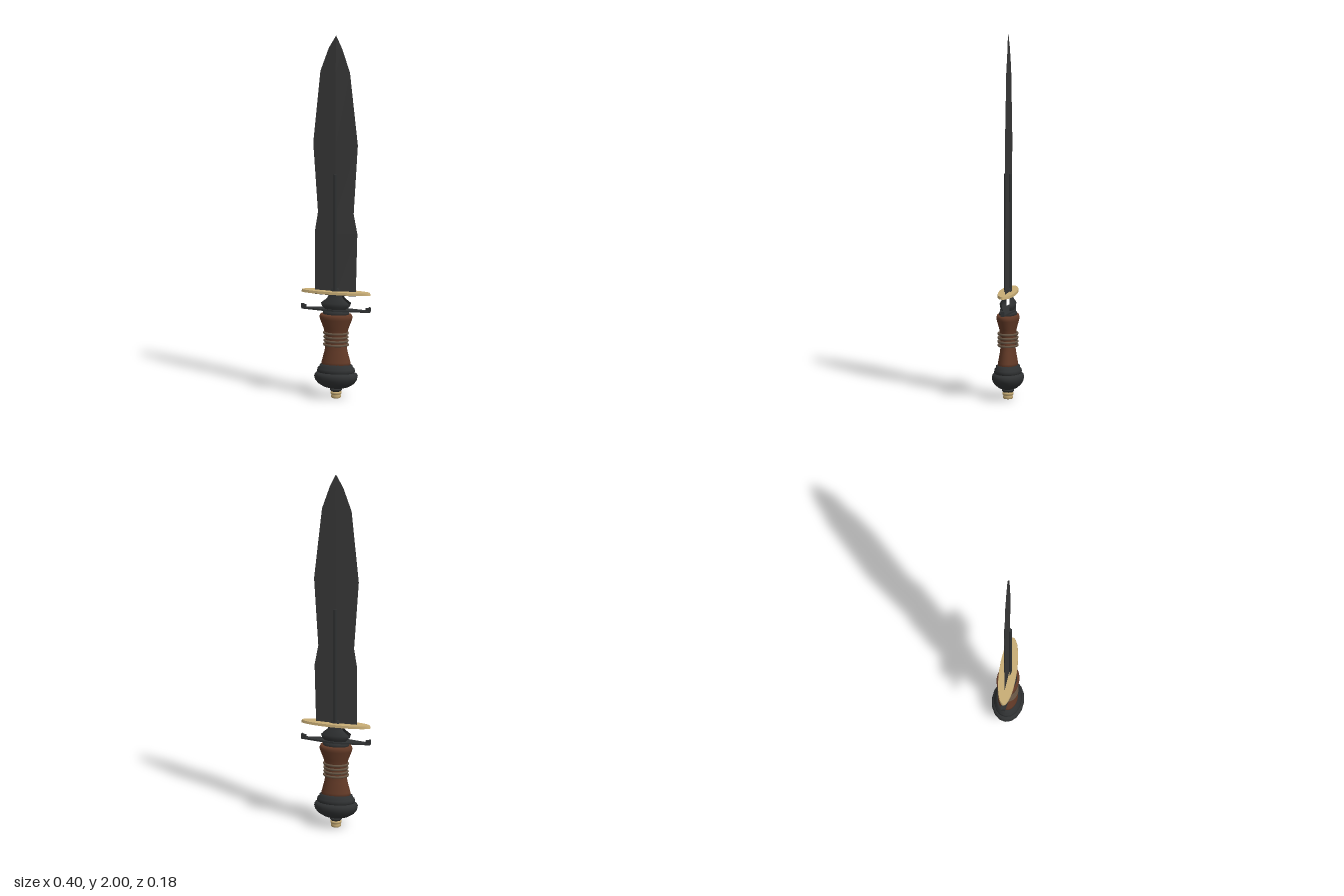
import * as THREE from 'three';

const material = (name, color) => {
  const m = new THREE.MeshStandardMaterial({ color, side: THREE.DoubleSide, flatShading: false });
  m.name = name;
  return m;
};

export function createModel() {
  const group = new THREE.Group();
  const steel = material('dark steel', 0x383838);
  const iron = material('blackened iron', 0x2f3132);
  const brass = material('pale brass', 0xc8ad76);
  const wood = material('brown wood', 0x633a27);
  const wire = material('binding wire', 0x685645);

  const add = (name, geometry, mat, x = 0, y = 0, z = 0) => {
    const mesh = new THREE.Mesh(geometry, mat);
    mesh.name = name;
    mesh.position.set(x, y, z);
    group.add(mesh);
    return mesh;
  };
  const vec = (points) => points.map(([x, y]) => new THREE.Vector2(x, y));
  // Turned part with an elliptical section
  const turned = (name, points, mat, depth, sides = 20) => {
    const geometry = new THREE.LatheGeometry(vec(points), sides);
    geometry.scale(1, 1, depth);
    return add(name, geometry, mat);
  };

  // Leaf blade: diamond sections [y, left edge, right edge, half thickness]
  const rows = [
    [0.565, -0.12, 0.112, 0.008], [0.91, -0.122, 0.121, 0.008], [1.02, -0.104, 0.1, 0.008],
    [1.4, -0.131, 0.124, 0.006], [1.8, -0.09, 0.079, 0.005], [1.93, -0.042, 0.034, 0.003], [2, 0, 0, 0],
  ];
  const positions = [];
  const section = ([y, l, r, t]) => [[l, y, -0.003], [0, y, t], [r, y, -0.003], [0, y, -t - 0.001]];
  for (let i = 0; i < rows.length - 1; i++) {
    const a = section(rows[i]);
    const b = section(rows[i + 1]);
    for (let k = 0; k < 4; k++) {
      const n = (k + 1) % 4;
      positions.push(...a[k], ...a[n], ...b[n], ...a[k], ...b[n], ...b[k]);
    }
  }
  const base = section(rows[0]);
  positions.push(...base[0], ...base[2], ...base[1], ...base[0], ...base[3], ...base[2]);
  const blade = new THREE.BufferGeometry();
  blade.setAttribute('position', new THREE.Float32BufferAttribute(positions, 3));
  blade.computeVertexNormals();
  add('blade', blade, steel);

  // Rib and flared half shell on each face of the blade
  const neckProfile = vec([[0.045, 0.475], [0.078, 0.505], [0.085, 0.525], [0.05, 0.55], [0.036, 0.575], [0.022, 0.605], [0.009, 0.61]]);
  for (const side of [1, -1]) {
    const rib = new THREE.CylinderGeometry(0.01, 0.01, 0.64, 8);
    add('bladeRib', rib, iron, 0, 0.915, side * 0.0125);
    const arc = 2.4;
    const shell = new THREE.LatheGeometry(neckProfile, 8, (side > 0 ? 0 : Math.PI) - arc / 2, arc);
    shell.scale(1, 1, 0.42);
    add('neckShell', shell, iron, 0, 0, side * 0.008);
  }

  // Oval brass guard plate
  const guard = new THREE.CylinderGeometry(0.193, 0.198, 0.014, 40);
  guard.scale(1, 1, 0.245);
  add('ovalGuard', guard, brass, 0, 0.583, 0);

  // Thin tapering cross guard with hooked ends
  const leaf = new THREE.Shape(vec([
    [-0.195, -0.01], [-0.08, -0.032], [0, -0.045], [0.08, -0.032], [0.195, -0.01],
    [0.195, 0.01], [0.08, 0.032], [0, 0.045], [-0.08, 0.032], [-0.195, 0.01],
  ]));
  const cross = new THREE.ExtrudeGeometry(leaf, { depth: 0.009, bevelEnabled: false });
  cross.rotateX(-Math.PI / 2);
  add('crossGuard', cross, iron, 0, 0.482, 0);
  for (const side of [1, -1]) {
    add('guardHook', new THREE.BoxGeometry(0.026, 0.017, 0.018), iron, side * 0.184, 0.497, 0);
    add('guardHookTip', new THREE.BoxGeometry(0.01, 0.008, 0.018), iron, side * 0.192, 0.506, 0);
  }
  turned('collar', [[0, 0.455], [0.075, 0.455], [0.072, 0.475], [0.055, 0.485], [0, 0.487]], iron, 0.65);

  // Waisted grip
  turned('grip', [
    [0, 0.17], [0.083, 0.172], [0.08, 0.2], [0.064, 0.26], [0.058, 0.3], [0.058, 0.345],
    [0.07, 0.385], [0.09, 0.435], [0.092, 0.45], [0.086, 0.463], [0, 0.465],
  ], wood, 0.67, 24);

  // Wire binding around the waist
  [0.295, 0.316, 0.337, 0.359].forEach((y, i) => {
    const ring = new THREE.TorusGeometry(0.064, 0.0065, 6, 28);
    ring.rotateX(Math.PI / 2);
    ring.scale(1 + (i % 3 === 0 ? 0.03 : 0), 1, 0.82);
    add('gripRing', ring, wire, 0, y, 0);
  });

  // Stepped pommel with a brass end button
  turned('pommelCollar', [
    [0, 0.135], [0.1, 0.137], [0.108, 0.15], [0.104, 0.163], [0.095, 0.17], [0.092, 0.182], [0.078, 0.188], [0, 0.188],
  ], iron, 0.7, 16);
  turned('pommel', [
    [0, 0.052], [0.035, 0.053], [0.07, 0.062], [0.1, 0.08], [0.118, 0.102], [0.123, 0.122], [0.115, 0.136], [0.095, 0.145], [0, 0.147],
  ], iron, 0.715, 16);
  turned('pommelStem', [[0, 0.03], [0.02, 0.03], [0.032, 0.043], [0.034, 0.05], [0.025, 0.058], [0, 0.058]], iron, 1, 14);
  turned('endButton', [
    [0, 0], [0.022, 0], [0.027, 0.005], [0.027, 0.016], [0.024, 0.02], [0.031, 0.025], [0.031, 0.033], [0.024, 0.038], [0, 0.038],
  ], brass, 1, 14);

  return group;
}
